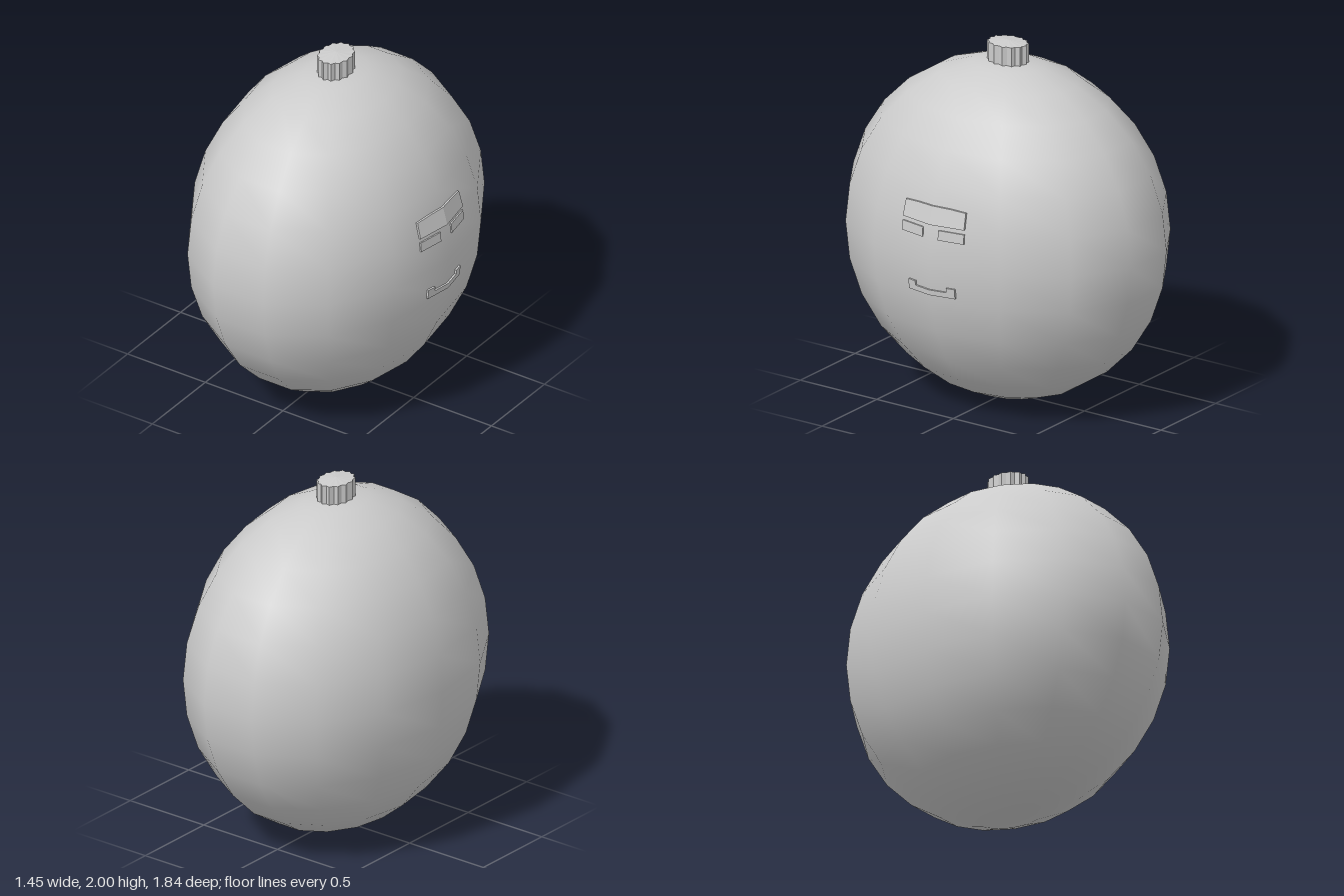
import * as THREE from 'three';

const RX = 0.725, RY = 0.948, RZ = 0.945, CY = 0.95, SIDES = 14;
const STEP = Math.PI / SIDES;

// x of the faceted body's +x side at a given height and depth
function bodyX(y, z) {
  const row = Math.acos((y - CY) / RY) / STEP;
  let i = Math.floor(row);
  const h = (k) => CY + RY * Math.cos(k * STEP);
  const t = (y - h(i)) / (h(i + 1) - h(i));
  const ring = Math.sin(i * STEP) * (1 - t) + Math.sin((i + 1) * STEP) * t;
  const slope = (RX * (1 - Math.cos(2 * STEP))) / (RZ * Math.sin(2 * STEP));
  return RX * ring - slope * Math.abs(z);
}

export function createModel() {
  const model = new THREE.Group();
  const material = new THREE.MeshStandardMaterial({ color: 0xcccccc });
  const flat = new THREE.MeshStandardMaterial({ color: 0xcccccc, flatShading: true });

  function add(name, geometry, mat) {
    const mesh = new THREE.Mesh(geometry, mat);
    mesh.name = name;
    model.add(mesh);
  }

  // Smooth egg-shaped body
  const body = new THREE.SphereGeometry(1, SIDES, SIDES);
  body.scale(RX, RY, RZ).translate(0, CY, 0);
  add('body', body, material);

  // Fluted cap with a slightly raised centre
  const cap = new THREE.CylinderGeometry(1, 1, 0.12, 28);
  const p = cap.attributes.position;
  for (let i = 0; i < p.count; i++) {
    const x = p.getX(i), z = p.getZ(i);
    if (Math.hypot(x, z) < 0.01) {
      if (p.getY(i) > 0) p.setY(i, 0.07);
      continue;
    }
    const tooth = Math.round(Math.atan2(x, z) / (Math.PI / 14));
    const r = tooth % 2 === 0 ? 0.12 : 0.107;
    p.setX(i, x * r * 0.77);
    p.setZ(i, z * r);
  }
  cap.translate(0, 1.93, 0);
  add('cap', cap, flat);

  // Thin raised panel following the body, mirrored about z = 0
  function panelPair(name, outline, lift) {
    for (const side of [1, -1]) {
      const shape = new THREE.Shape(outline.map(([a, y]) => new THREE.Vector2(a * side, y)));
      const geo = new THREE.ExtrudeGeometry(shape, { depth: 1, bevelEnabled: false });
      const q = geo.attributes.position;
      for (let i = 0; i < q.count; i++) {
        const a = q.getX(i), y = q.getY(i), d = q.getZ(i);
        q.setXYZ(i, bodyX(y, a) - 0.02 + d * (0.02 + lift), y, -a);
      }
      add(name + (side > 0 ? 'Back' : 'Front'), geo, flat);
    }
  }

  panelPair('brow', [[0, 1.167], [0.2, 1.167], [0.195, 1.256], [0.1, 1.263], [0, 1.266]], 0.011);
  panelPair('eye', [[0.05, 1.088], [0.2, 1.088], [0.2, 1.142], [0.05, 1.142]], 0.008);
  panelPair('mouth', [[0, 0.77], [0.15, 0.77], [0.15, 0.825], [0.1, 0.825], [0.1, 0.8], [0, 0.8]], 0.011);

  return model;
}
